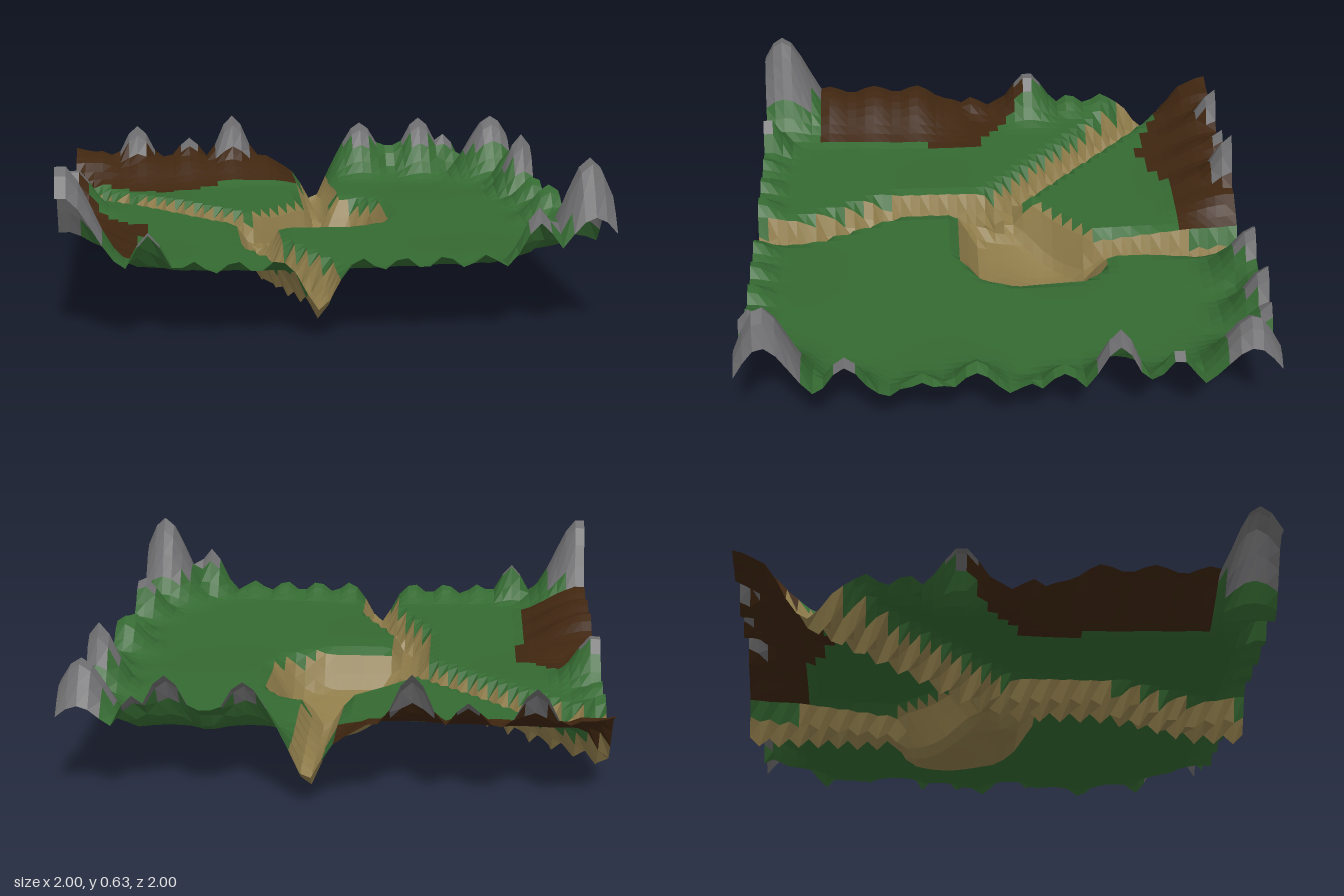
import * as THREE from 'three';

const N = 50, STEP = 2 / N, GROUND = 0.235;

// Rivers as polylines, [x, z]
const rivers = [
  [[0.1, -1.1], [0.08, -0.7], [0.06, -0.35]],
  [[-1.1, -0.82], [-0.96, -0.69], [-0.6, -0.35], [-0.32, -0.07], [-0.24, 0.02]],
  [[-0.24, -0.05], [-0.24, 0.42], [-0.08, 0.8], [-0.07, 1.1]],
];
// Convex shoreline of the lake, [x, z]
const shore = [[0.02, -0.47], [0.24, -0.46], [0.33, -0.34], [0.35, -0.05], [0.29, 0.1],
  [0.12, 0.19], [-0.2, 0.19], [-0.29, 0.04], [-0.31, -0.12], [-0.18, -0.28]];
// Peaks: [x, z, summit height, radius]
const peaks = [
  [-0.98, 0.92, 0.64, 0.15], [0.92, 0.89, 0.63, 0.13], [0.92, -0.89, 0.52, 0.13],
  [-0.72, -1, 0.48, 0.1], [-0.48, -1, 0.42, 0.09], [-0.28, -1, 0.52, 0.1],
  [0.32, -1, 0.48, 0.115], [0.6, -1, 0.5, 0.11], [0.46, -1, 0.38, 0.08], [0.72, -1, 0.42, 0.08],
  [0.72, 0.96, 0.46, 0.08], [-0.68, 0.98, 0.41, 0.07], [0.14, -0.98, 0.32, 0.07],
  [0.97, -0.62, 0.41, 0.08], [0.96, -0.4, 0.51, 0.09], [0.97, 0.6, 0.42, 0.09],
  [0.96, 0.12, 0.38, 0.09], [0.97, 0.32, 0.33, 0.07], [0.97, -0.2, 0.36, 0.08],
  [-0.98, -0.18, 0.43, 0.1], [-1, -1, 0.38, 0.15],
];

const smooth = (v, a, b) => THREE.MathUtils.smoothstep(v, a, b);

function segmentDistance(x, z, [ax, az], [bx, bz]) {
  const dx = bx - ax, dz = bz - az;
  const t = THREE.MathUtils.clamp(((x - ax) * dx + (z - az) * dz) / (dx * dx + dz * dz), 0, 1);
  return Math.hypot(x - ax - t * dx, z - az - t * dz);
}

function riverDistance(x, z) {
  let d = Infinity;
  for (const r of rivers)
    for (let i = 1; i < r.length; i++) d = Math.min(d, segmentDistance(x, z, r[i - 1], r[i]));
  return d;
}

// Distance inside the shoreline, negative outside
function lakeInset(x, z) {
  return Math.min(...shore.map(([ax, az], i) => {
    const [bx, bz] = shore[(i + 1) % shore.length];
    const dx = bx - ax, dz = bz - az;
    return (dx * (z - az) - dz * (x - ax)) / Math.hypot(dx, dz);
  }));
}

// Bare-earth regions: along the back left and the left side
function isEarth(x, z) {
  const bulge = 0.12 * Math.max(0, 1 - Math.abs(x + 0.6) / 0.3);
  if (x < 0 && z < -0.76 + bulge) return true;
  const edge = -0.72 + (z > 0.04 && z < 0.28 ? 0.04 : 0) - Math.max(0, 0.04 - z);
  return z > -0.2 && z < 0.76 && x < edge;
}

function height(x, z, col, row) {
  // Gently rolling meadow
  let h = GROUND + 0.006 * Math.sin(5 * x + 2) * Math.sin(6 * z);

  // Low knolls around the border
  const border = Math.max(Math.abs(x), Math.abs(z));
  const along = Math.abs(x) > Math.abs(z) ? z : x;
  let rise = smooth(border, 0.86, 1) * (0.02 + 0.045 * Math.sin(along * 21) ** 2);

  // Earth slopes
  const ripple = 0.92 + 0.13 * Math.sin(along * 31 - 2);
  if (x < 0.05) rise = Math.max(rise, 0.125 * ripple * smooth(-z, 0.68, 0.98) * smooth(-x, -0.05, 0.2));
  if (x < 0) rise = Math.max(rise, 0.13 * ripple * smooth(-x, 0.66, 0.98)
    * smooth(z, 0, 0.35) * (1 - smooth(z, 0.72, 0.9)));

  // Rocky peaks
  for (const [px, pz, top, r] of peaks) {
    const d2 = (x - px) ** 2 + (z - pz) ** 2;
    rise = Math.max(rise, (top - GROUND) * Math.exp(-d2 / (r * r)));
  }

  // Narrow river beds with a stepped floor
  const d = riverDistance(x, z);
  h += rise * smooth(d, 0.03, 0.12);
  const step = x < -0.32 ? col : row;
  const depth = step % 2 ? 0.16 : 0.12;
  h -= depth * Math.min(1, 1.15 * Math.max(0, 1 - d / 0.085));

  // Lake basin, deepest towards the back
  const inset = lakeInset(x, z);
  if (inset > 0) {
    const bowl = 1 - smooth(Math.hypot(x - 0.03, z + 0.2), 0, 0.32);
    h = Math.min(h, GROUND - smooth(inset, 0, 0.125) * (0.155 + 0.08 * bowl));
  }
  return h;
}

export function createModel() {
  const group = new THREE.Group();
  group.name = 'terrain';

  // Height grid
  const grid = [];
  for (let j = 0; j <= N; j++) {
    grid.push([]);
    for (let i = 0; i <= N; i++) {
      const x = -1 + i * STEP, z = -1 + j * STEP;
      grid[j].push([x, height(x, z, i, j), z]);
    }
  }
  const low = Math.min(...grid.flat().map(p => p[1]));
  grid.flat().forEach(p => { p[1] -= low; });

  // Sort the cells by ground cover
  const covers = {
    grass: { color: 0x356a32, points: [] },
    sand: { color: 0x8f7c4a, points: [] },
    earth: { color: 0x3f2610, points: [] },
    rock: { color: 0x6e6e70, points: [] },
  };
  for (let j = 0; j < N; j++) {
    for (let i = 0; i < N; i++) {
      const a = grid[j][i], b = grid[j][i + 1], c = grid[j + 1][i + 1], d = grid[j + 1][i];
      const mean = (a[1] + b[1] + c[1] + d[1]) / 4;
      const cover = mean < 0.202 ? 'sand' : mean > 0.375 ? 'rock'
        : isEarth(a[0] + STEP / 2, a[2] + STEP / 2) && mean > 0.22 ? 'earth' : 'grass';
      covers[cover].points.push(...a, ...d, ...b, ...b, ...d, ...c);
    }
  }

  // One surface per ground cover
  for (const [name, { color, points }] of Object.entries(covers)) {
    const geometry = new THREE.BufferGeometry();
    geometry.setAttribute('position', new THREE.Float32BufferAttribute(points, 3));
    geometry.computeVertexNormals();
    const mesh = new THREE.Mesh(geometry, new THREE.MeshStandardMaterial({
      color, flatShading: true, side: THREE.DoubleSide,
    }));
    mesh.name = name;
    group.add(mesh);
  }
  return group;
}
